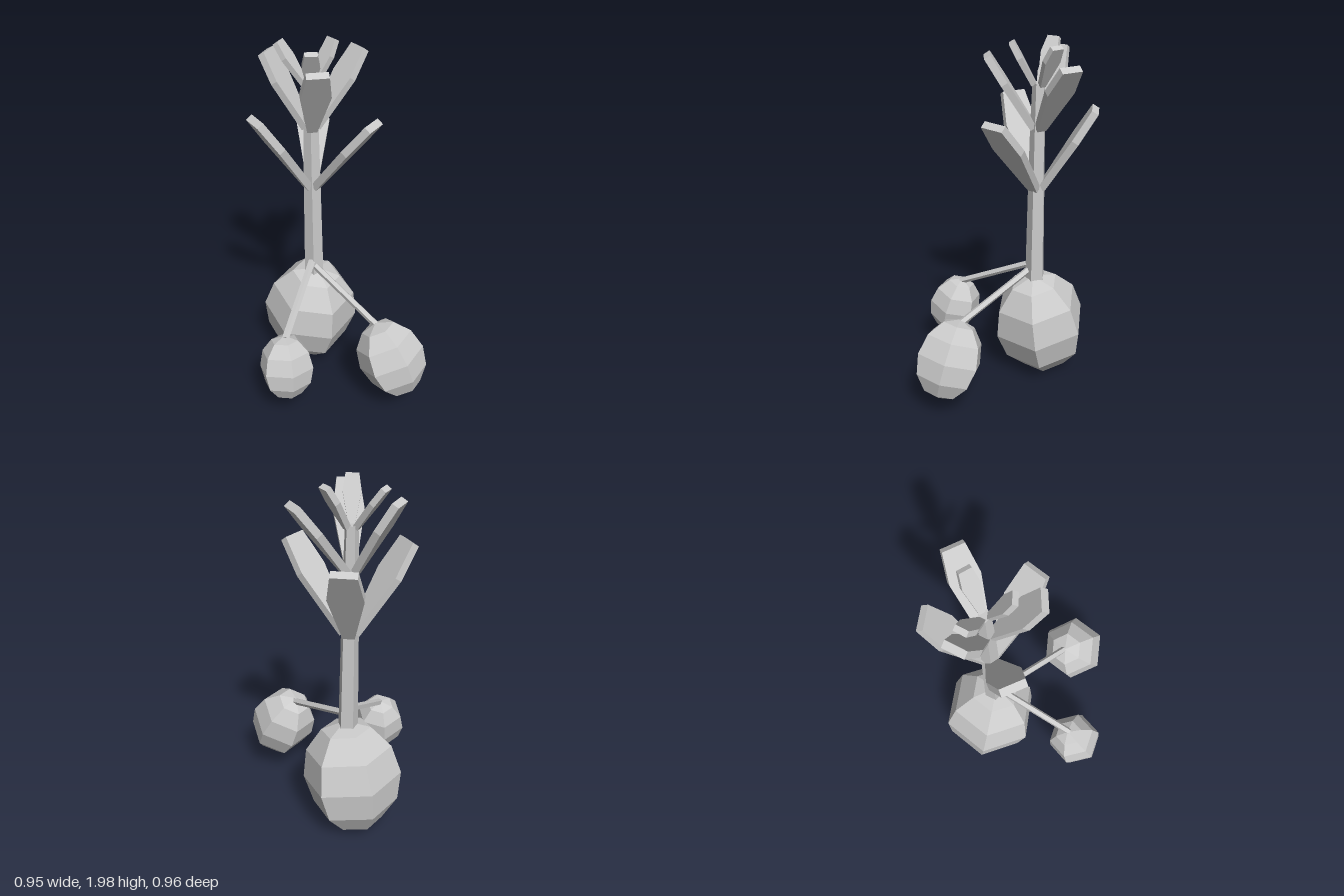
import * as THREE from 'three';

const material = new THREE.MeshStandardMaterial({ color: 0xcccccc, flatShading: true });
const UP = new THREE.Vector3(0, 1, 0);
const vec = (p) => new THREE.Vector3(...p);

function addMesh(parent, geometry, name) {
  const mesh = new THREE.Mesh(geometry, material);
  mesh.name = name;
  parent.add(mesh);
  return mesh;
}

// Straight tapered rod between two points
function addRod(parent, name, from, to, r0, r1, sides) {
  const a = vec(from), b = vec(to);
  const rod = addMesh(parent, new THREE.CylinderGeometry(r1, r0, a.distanceTo(b), sides), name);
  rod.position.copy(a).add(b).multiplyScalar(0.5);
  rod.quaternion.setFromUnitVectors(UP, b.sub(a).normalize());
}

// Six-sided tuber, taller than wide, leaning along an axis
function addTuber(parent, name, centre, axis, height, turn) {
  const geometry = new THREE.SphereGeometry(height, 6, 6);
  geometry.scale(0.83, 1, 0.83);
  geometry.rotateY(turn);
  const tuber = addMesh(parent, geometry, name);
  tuber.position.set(...centre);
  tuber.quaternion.setFromUnitVectors(UP, vec(axis).normalize());
}

// Flat leaf: narrow base, widest at two thirds, blunt tip
function addLeaf(parent, name, from, to, width, thickness) {
  const a = vec(from), along = vec(to).sub(a), length = along.length();
  along.normalize();
  const half = [[0.17, 0], [0.5, 0.65], [0.36, 1]].map(([w, t]) => [w * width, t * length]);
  const outline = [...half, ...half.map(([x, y]) => [-x, y]).reverse()];
  const shape = new THREE.Shape(outline.map(([x, y]) => new THREE.Vector2(x, y)));
  const geometry = new THREE.ExtrudeGeometry(shape, { depth: thickness, bevelEnabled: false });
  geometry.translate(0, 0, -thickness / 2);
  const side = new THREE.Vector3().crossVectors(along, UP).normalize();
  const normal = new THREE.Vector3().crossVectors(side, along);
  const leaf = addMesh(parent, geometry, name);
  leaf.quaternion.setFromRotationMatrix(new THREE.Matrix4().makeBasis(side, along, normal));
  leaf.position.copy(a);
}

export function createModel() {
  const model = new THREE.Group();
  model.name = 'tuberPlant';
  const cx = -0.16, cz = -0.17;

  // Stem in three sections, thinner towards the top
  const levels = [[0.62, 0.056], [1.2, 0.048], [1.54, 0.042], [1.78, 0.034]];
  for (let i = 0; i < 3; i++) {
    const [y0, r0] = levels[i], [y1, r1] = levels[i + 1];
    addRod(model, 'stemSection', [cx, y0, cz], [cx, y1, cz], r0, r1, 5);
  }

  // Tubers
  addTuber(model, 'mainTuber', [-0.19, 0.335, -0.2], [0.145, 0.98, 0.12], 0.33, 0);
  addTuber(model, 'leftTuber', [0.28, 0.342, 0.25], [-0.09, 0.2, -0.05], 0.227, 0);
  addTuber(model, 'rightTuber', [-0.297, 0.34, 0.33], [-0.01, 0.18, -0.05], 0.183, -0.2);

  // Runners from the stem to the side tubers
  addRod(model, 'leftRunner', [-0.15, 0.69, -0.13], [0.2, 0.525, 0.2], 0.02, 0.02, 5);
  addRod(model, 'rightRunner', [-0.17, 0.725, -0.13], [-0.3, 0.505, 0.29], 0.02, 0.02, 5);

  // Three tiers of three leaves: base height, width, thickness, tips
  const tiers = [
    ['lowerLeaf', 1.2, 0.18, 0.04, [[0.16, 1.64, 0.02], [-0.43, 1.65, 0.0], [-0.16, 1.65, -0.465]]],
    ['middleLeaf', 1.54, 0.155, 0.038, [[-0.11, 1.925, 0.09], [0.09, 1.915, -0.345], [-0.385, 1.925, -0.25]]],
    ['upperLeaf', 1.77, 0.09, 0.03, [[-0.145, 1.985, -0.03], [-0.045, 1.985, -0.265], [-0.32, 1.98, -0.23]]],
  ];
  for (const [name, y, width, thickness, tips] of tiers) {
    for (const tip of tips) {
      const out = new THREE.Vector3(tip[0] - cx, 0, tip[2] - cz).setLength(0.025);
      addLeaf(model, name, [cx + out.x, y, cz + out.z], tip, width, thickness);
    }
  }
  return model;
}
